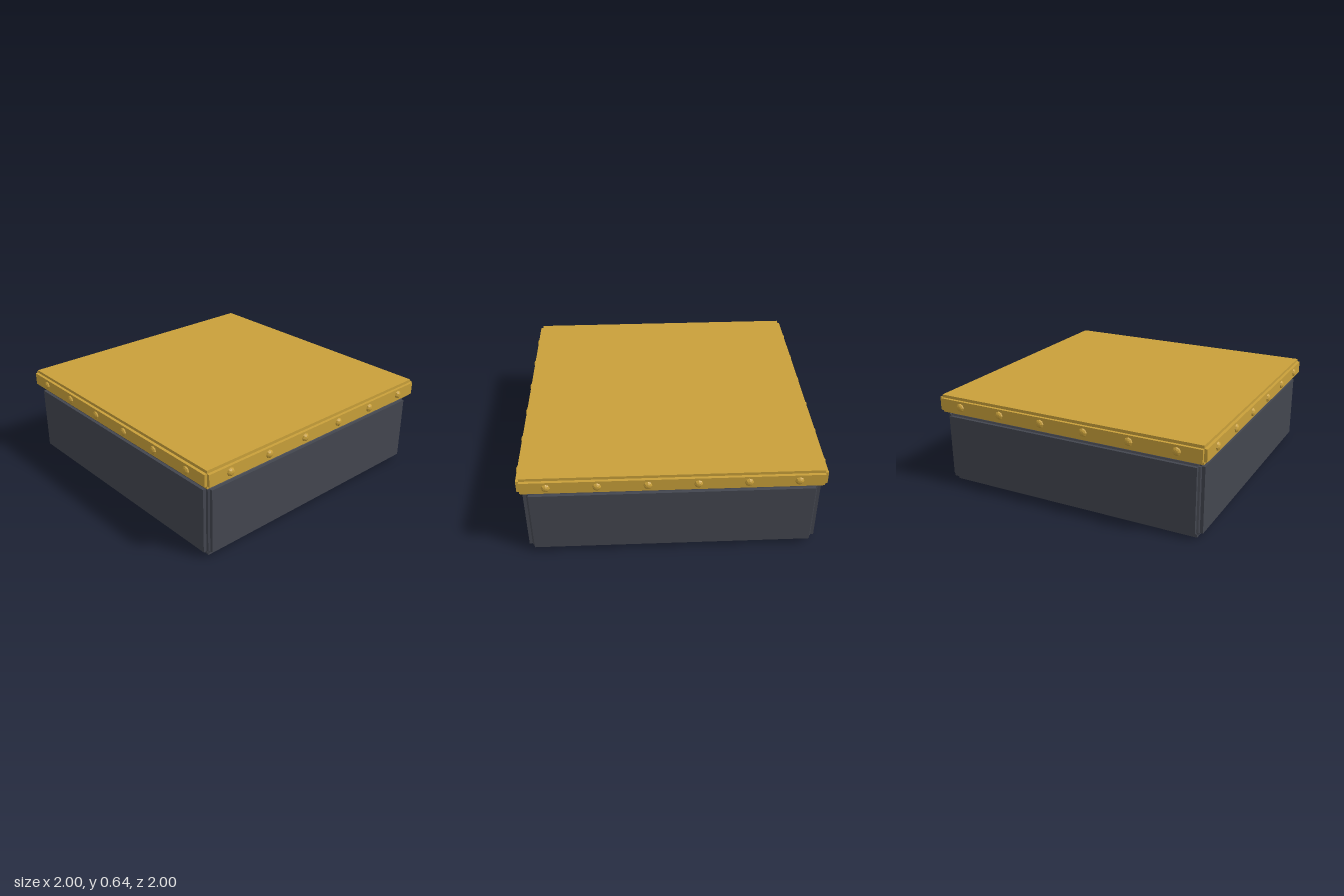
import * as THREE from 'three';

export function createModel() {
  const model = new THREE.Group();
  const gold = new THREE.MeshStandardMaterial({ color: 0xc9a03a, flatShading: true });
  gold.name = 'gold';
  const slate = new THREE.MeshStandardMaterial({ color: 0x43464f, flatShading: true });
  slate.name = 'slate';

  function add(parent, geometry, material, name, x, y, z) {
    const mesh = new THREE.Mesh(geometry, material);
    mesh.name = name;
    mesh.position.set(x, y, z);
    parent.add(mesh);
    return mesh;
  }

  // Square block with stepped edges: three crossing boxes, each full along one axis
  function steppedBlock(name, half, y0, y1, step, material) {
    const group = new THREE.Group();
    group.name = name;
    const full = [half * 2, y1 - y0, half * 2];
    for (let axis = 0; axis < 3; axis++) {
      const size = full.map((s, i) => (i === axis ? s : s - 2 * step));
      add(group, new THREE.BoxGeometry(...size), material, name + 'Core', 0, (y0 + y1) / 2, 0);
    }
    model.add(group);
    return group;
  }

  // Lower box, with a thin bead in each notched edge
  const top = 0.524, half = 0.957, step = 0.038, inner = half - step;
  const base = steppedBlock('base', half, 0, top, step, slate);
  const beadRadius = 0.017;
  const longBead = new THREE.CylinderGeometry(beadRadius, beadRadius, inner * 2, 8);
  const shortBead = new THREE.CylinderGeometry(beadRadius, beadRadius, top - 2 * step, 8);
  for (const a of [-1, 1]) {
    for (const y of [step, top - step]) {
      add(base, longBead, slate, 'edgeBead', 0, y, a * inner).rotation.z = Math.PI / 2;
      add(base, longBead, slate, 'edgeBead', a * inner, y, 0).rotation.x = Math.PI / 2;
    }
    for (const b of [-1, 1]) add(base, shortBead, slate, 'cornerBead', a * inner, top / 2, b * inner);
  }

  // Overhanging lid
  steppedBlock('lid', 0.983, 0.516, 0.64, 0.02, gold);

  // Six domed rivets along each side of the lid
  const rivet = new THREE.SphereGeometry(0.029, 8, 6).rotateX(Math.PI / 2).scale(1, 1, 0.62);
  for (let side = 0; side < 4; side++) {
    const row = new THREE.Group();
    row.name = 'rivetRow';
    row.rotation.y = side * Math.PI / 2;
    for (let i = 0; i < 6; i++) add(row, rivet, gold, 'rivet', (i - 2.5) * 0.319, 0.578, 0.982);
    model.add(row);
  }
  return model;
}
